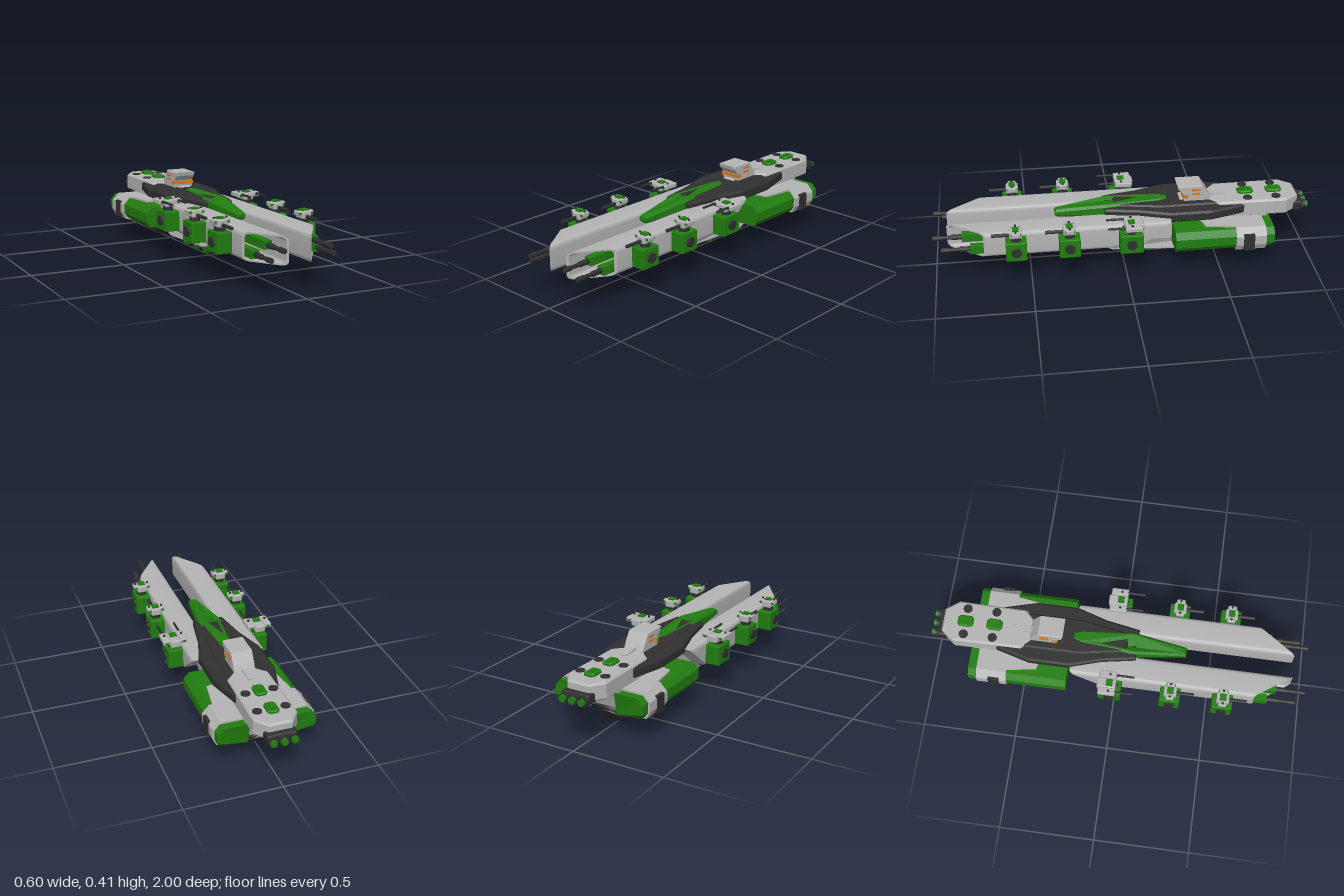
import * as THREE from 'three';
import { toCreasedNormals } from 'three/addons/utils/BufferGeometryUtils.js';
import { RoundedBoxGeometry } from 'three/addons/geometries/RoundedBoxGeometry.js';

const paint = (name, color) => {
  const m = new THREE.MeshStandardMaterial({ color });
  m.name = name;
  return m;
};

export function createModel() {
  const model = new THREE.Group();
  model.name = 'spaceship';
  const grey = paint('hull grey', 0xb4b4b4);
  const green = paint('green', 0x217d10);
  const dark = paint('charcoal', 0x303030);
  const orange = paint('orange', 0xd87a1e);

  const add = (parent, name, geo, mat, x = 0, y = 0, z = 0) => {
    const m = new THREE.Mesh(geo, mat);
    m.name = name;
    m.position.set(x, y, z);
    parent.add(m);
    return m;
  };
  const box = (w, h, d) => new THREE.BoxGeometry(w, h, d);
  const soft = (w, h, d, r) => new RoundedBoxGeometry(w, h, d, 2, r);
  const rod = (r, l, n = 14, r2 = r) => new THREE.CylinderGeometry(r, r2, l, n);
  const rodZ = (r, l, n) => rod(r, l, n).rotateX(Math.PI / 2);
  const rodX = (r, l) => rod(r, l, 18).rotateZ(Math.PI / 2);
  const polygon = pts => new THREE.Shape(pts.map(p => new THREE.Vector2(p[0], p[1])));
  const warp = (geo, rule) => {
    const p = geo.attributes.position;
    const v = new THREE.Vector3();
    for (let i = 0; i < p.count; i++) {
      rule(v.fromBufferAttribute(p, i));
      p.setXYZ(i, v.x, v.y, v.z);
    }
    geo.computeVertexNormals();
    return geo;
  };
  // Slab from one half of a plan outline (x, z), mirrored, with a bevelled rim
  const slab = (half, y0, y1, bevel = 0.008) => {
    const pts = [...half, ...half.map(([x, z]) => [-x, z]).reverse()];
    return new THREE.ExtrudeGeometry(polygon(pts), {
      depth: y1 - y0 - 2 * bevel, bevelEnabled: true, bevelSegments: 1,
      bevelSize: bevel, bevelThickness: bevel, bevelOffset: -bevel,
    }).rotateX(Math.PI / 2).translate(0, y1 - bevel, 0);
  };
  // Solid from a side outline (z, y)
  const profile = (pts, w, bevel = 0.006) => new THREE.ExtrudeGeometry(polygon(pts), {
    depth: 2 * (w - bevel), bevelEnabled: true, bevelSegments: 2,
    bevelSize: bevel, bevelThickness: bevel, bevelOffset: -bevel,
  }).rotateY(-Math.PI / 2).translate(w - bevel, 0, 0);
  const roundRect = (path, x0, y0, x1, y1, r) => {
    path.moveTo(x0 + r, y0).lineTo(x1 - r, y0).quadraticCurveTo(x1, y0, x1, y0 + r)
      .lineTo(x1, y1 - r).quadraticCurveTo(x1, y1, x1 - r, y1)
      .lineTo(x0 + r, y1).quadraticCurveTo(x0, y1, x0, y1 - r)
      .lineTo(x0, y0 + r).quadraticCurveTo(x0, y0, x0 + r, y0);
    return path;
  };

  // Lower hull, chamfered at the nose
  const hull = profile([[0.1, 0.085], [0.09, 0.07], [0.06, 0.065], [-0.27, 0.065], [-0.43, 0.125],
    [-0.74, 0.14], [-0.78, 0.26], [-0.6, 0.3], [-0.1, 0.285], [-0.07, 0.2], [-0.02, 0.145]], 0.108);
  add(model, 'lowerHull', warp(hull, v => {
    v.x *= 1 - 0.45 * THREE.MathUtils.clamp((v.z - 0.01) / 0.09, 0, 1);
  }), grey);
  add(model, 'noseWall', box(0.13, 0.14, 0.2), grey, 0, 0.19, -0.03);

  // Dark upper deck and green spine
  add(model, 'darkDeck', slab([[0.05, 0.1], [0.083, 0.1], [0.115, -0.08], [0.165, -0.24],
    [0.165, -0.46], [0.115, -0.64]], 0.262, 0.317, 0.01), dark);
  add(model, 'upperDeck', slab([[0.05, 0.05], [0.095, -0.2], [0.095, -0.6]], 0.3, 0.326), dark);
  const spine = slab([[0.024, 0.36], [0.06, 0.08], [0.037, -0.2], [0.02, -0.245]], 0.257, 0.332, 0.012);
  add(model, 'greenSpine', warp(spine, v => {
    if (v.z > 0.06 && v.y > 0.3) v.y -= (v.z - 0.06) * 0.11;
  }), green);

  // Rear deck with hatches and vents
  add(model, 'rearDeck', slab([[0.04, -0.3], [0.05, -0.45], [0.108, -0.51], [0.112, -0.87],
    [0.06, -0.94]], 0.24, 0.332, 0.01), grey);
  for (const z of [-0.665, -0.82]) {
    add(model, 'hatch', slab([[0.018, 0.042], [0.03, 0.028], [0.03, -0.028], [0.018, -0.042]], 0, 0.022, 0.006),
      green, 0, 0.325, z);
    add(model, 'hatchRib', box(0.022, 0.008, 0.04), green, 0, 0.348, z);
    for (const s of [-1, 1]) add(model, 'vent', rod(0.024, 0.012, 18), dark, s * 0.072, 0.331, z);
  }

  // Tail engine
  add(model, 'tailBlock', soft(0.155, 0.055, 0.1, 0.012), dark, 0, 0.263, -0.92);
  for (const x of [-0.053, 0, 0.053]) {
    add(model, 'tailSocket', rodZ(0.024, 0.04, 14), dark, x, 0.26, -0.965);
    add(model, 'tailNozzle', rodZ(0.018, 0.05, 14), green, x, 0.26, -0.975);
  }

  // Bridge tower
  add(model, 'bridge', profile([[-0.325, 0.32], [-0.32, 0.365], [-0.295, 0.392], [-0.29, 0.413],
    [-0.42, 0.413], [-0.455, 0.36], [-0.475, 0.32]], 0.056), grey);
  add(model, 'bridgeFin', profile([[-0.44, 0.325], [-0.44, 0.365], [-0.47, 0.345], [-0.56, 0.338],
    [-0.56, 0.325]], 0.015, 0.002), grey);
  add(model, 'frontWindow', box(0.114, 0.019, 0.03), orange, 0, 0.352, -0.333);
  for (const s of [-1, 1]) for (const y of [0.366, 0.389])
    add(model, 'sideWindow', box(0.005, 0.011, 0.045), orange, s * 0.057, y, -0.39);

  // Belly thruster, tilted down and back
  const thruster = add(model, 'bellyThruster', rod(0.07, 0.12, 24, 0.078), dark, 0, 0.1, -0.622);
  thruster.rotation.x = Math.PI / 4;
  const lens = add(model, 'thrusterCap', rod(0.058, 0.012, 24), dark, 0, 0.055, -0.667);
  lens.rotation.x = Math.PI / 4;

  // Belly guns, raked backwards
  for (const z of [-0.015, -0.135, -0.255]) {
    const gun = new THREE.Group();
    gun.name = 'bellyGun';
    gun.position.set(0, 0.045, z);
    gun.rotation.x = 0.52;
    add(gun, 'gunHousing', soft(0.046, 0.07, 0.044, 0.01), green);
    add(gun, 'gunTip', rod(0.01, 0.02, 10), green, 0, -0.036, 0);
    model.add(gun);
  }

  // Turret on its side mount; the larger kind has two outer barrels
  const turret = (side, z, large) => {
    const g = new THREE.Group();
    g.name = 'sideTurret';
    g.position.set(side * 0.235, 0, z);
    add(g, 'mount', soft(0.082, 0.106, large ? 0.122 : 0.108, 0.005), green, 0, 0.213, 0);
    add(g, 'mountDisc', rodX(0.026, 0.018), dark, side * 0.042, 0.213, 0);
    add(g, 'neck', rod(0.027, 0.03, 18), dark, 0, 0.275, 0);
    add(g, 'turretBody', soft(0.056, 0.04, large ? 0.1 : 0.066, 0.008), grey, 0, 0.305, large ? -0.015 : 0);
    add(g, 'turretTop', box(0.036, 0.012, 0.034), green, 0, 0.327, 0);
    const reach = large ? 0.046 : 0.034;
    for (const s of [-1, 1]) {
      add(g, 'turretPod', soft(large ? 0.038 : 0.024, 0.026, large ? 0.09 : 0.044, 0.006), grey, s * reach, 0.314, large ? -0.01 : 0);
      add(g, 'podPanel', box(0.018, 0.01, large ? 0.094 : 0.05), green, s * reach, 0.312, large ? -0.01 : 0);
      add(g, 'podCap', rod(0.006, 0.012, 10), dark, s * reach, 0.328, 0);
      if (large) add(g, 'barrel', rodZ(0.006, 0.13, 10), dark, s * reach, 0.32, 0.06);
    }
    if (!large) add(g, 'barrel', rodZ(0.009, 0.1, 10), dark, 0, 0.298, 0.075);
    else add(g, 'sight', rodZ(0.009, 0.02, 10), dark, 0, 0.298, 0.034);
    model.add(g);
  };

  // Left half of the paired parts, mirrored for the right
  const frontEnd = x => 0.93 - (x - 0.06) * 1.45;
  const backEnd = y => -0.24 + (0.288 - y) * 1.2;
  for (const side of [1, -1]) {
    const half = new THREE.Group();
    half.name = side > 0 ? 'leftSide' : 'rightSide';
    half.scale.x = side;
    model.add(half);

    // Hollow prong with a slanted mouth
    const ring = roundRect(new THREE.Shape(), 0.06, 0.146, 0.198, 0.288, 0.025);
    ring.holes.push(roundRect(new THREE.Path(), 0.068, 0.154, 0.19, 0.28, 0.02));
    const extrude = s => new THREE.ExtrudeGeometry(s, { depth: 1, bevelEnabled: false, curveSegments: 6 });
    const prong = warp(extrude(ring), v => { v.z = v.z > 0.5 ? frontEnd(v.x) : backEnd(v.y); });
    add(half, 'prong', toCreasedNormals(prong, 0.5), grey);
    const core = extrude(roundRect(new THREE.Shape(), 0.067, 0.153, 0.191, 0.281, 0.02));
    add(half, 'prongCore', warp(core, v => { v.z = v.z > 0.5 ? 0.64 : backEnd(v.y); }), grey);

    // Paired bow guns
    for (const [x, y, z] of [[0.125, 0.238, 0.85], [0.169, 0.189, 0.81]]) {
      add(half, 'bowGun', box(0.042, 0.042, 0.2), green, x, y, z - 0.1);
      add(half, 'bowBarrel', rodZ(0.01, 0.15, 12), dark, x, y, z + 0.07);
      add(half, 'bowSleeve', rodZ(0.014, 0.06, 12), dark, x, y, z + 0.025);
      add(half, 'bowMuzzle', rodZ(0.013, 0.04, 12), dark, x, y, z + 0.13);
    }

    // Engine nacelle
    const section = k => polygon([[0.09, 0.236 + k], [0.225, 0.236 + k], [0.254 + k, 0.205],
      [0.254 + k, 0.155], [0.235 + k, 0.128 - k], [0.09, 0.116 - k]]);
    const length = (k, z0, z1) => new THREE.ExtrudeGeometry(section(k), { depth: z1 - z0, bevelEnabled: false }).translate(0, 0, z0);
    add(half, 'nacelle', length(0, -0.74, -0.255), green);
    add(half, 'nacelleBand', length(0.009, -0.735, -0.575), grey);
    const end = length(0, -0.78, -0.73);
    add(half, 'nacelleEnd', warp(end, v => { if (v.z < -0.76 && v.y < 0.15) v.z += 0.02; }), green);
    add(half, 'nacelleWindow', box(0.02, 0.09, 0.058), dark, 0.259, 0.172, -0.642);
    const fairing = new THREE.ExtrudeGeometry(polygon([[0.1, -0.4], [0.185, -0.42], [0.21, -0.58], [0.1, -0.58]]),
      { depth: 0.02, bevelEnabled: false }).rotateX(Math.PI / 2);
    add(half, 'nacelleFairing', fairing, grey, 0, 0.246, 0);

    turret(side, -0.02, true);
    turret(side, 0.3, false);
    turret(side, 0.575, false);
  }
  return model;
}
